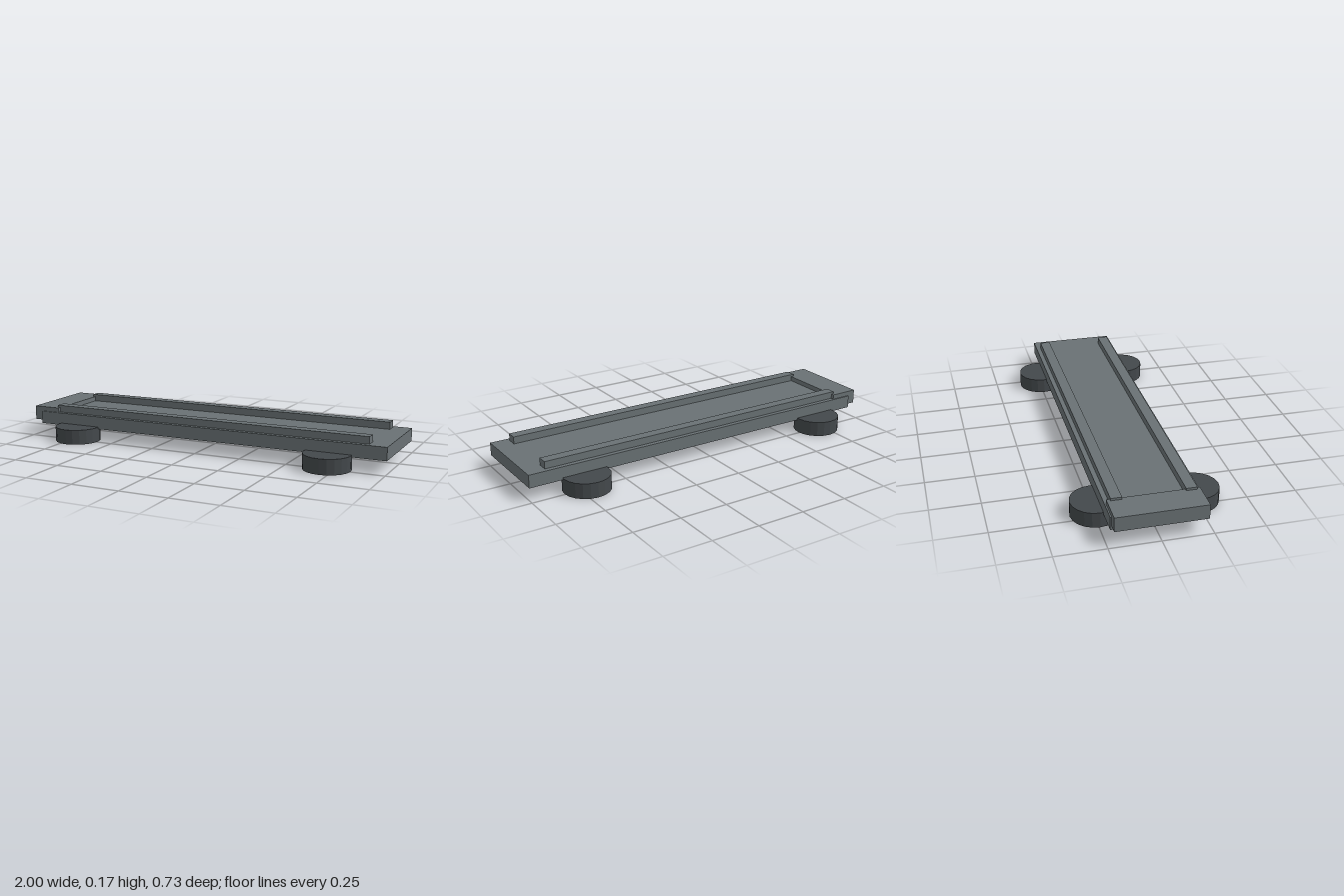
import * as THREE from 'three';

export function createModel() {
  const model = new THREE.Group();
  const steel = new THREE.MeshStandardMaterial({ color: 0x697174 });
  steel.name = 'grey steel';
  const rubber = new THREE.MeshStandardMaterial({ color: 0x43484b, flatShading: true });
  rubber.name = 'dark rubber';

  // Box given by its min and max on each axis
  const box = (name, [x0, x1], [y0, y1], [z0, z1]) => {
    const mesh = new THREE.Mesh(new THREE.BoxGeometry(x1 - x0, y1 - y0, z1 - z0), steel);
    mesh.position.set((x0 + x1) / 2, (y0 + y1) / 2, (z0 + z1) / 2);
    mesh.name = name;
    model.add(mesh);
  };

  // Long deck with a raised plate at its right end
  box('deck', [-0.955, 1], [0.067, 0.134], [-0.229, 0.229]);
  box('endPlate', [-1, -0.848], [0.085, 0.159], [-0.222, 0.222]);

  // Side rails, running slightly into the end plate
  box('leftRail', [-0.863, 0.906], [0.13, 0.171], [0.151, 0.205]);
  box('rightRail', [-0.863, 0.906], [0.13, 0.171], [-0.205, -0.151]);

  // Four flat round feet, set into the deck's underside
  const footShape = new THREE.CylinderGeometry(0.12, 0.12, 0.078, 20);
  for (const x of [-0.71, 0.71]) {
    for (const z of [-0.244, 0.244]) {
      const foot = new THREE.Mesh(footShape, rubber);
      foot.position.set(x, 0.039, z);
      foot.name = 'foot';
      model.add(foot);
    }
  }
  return model;
}
